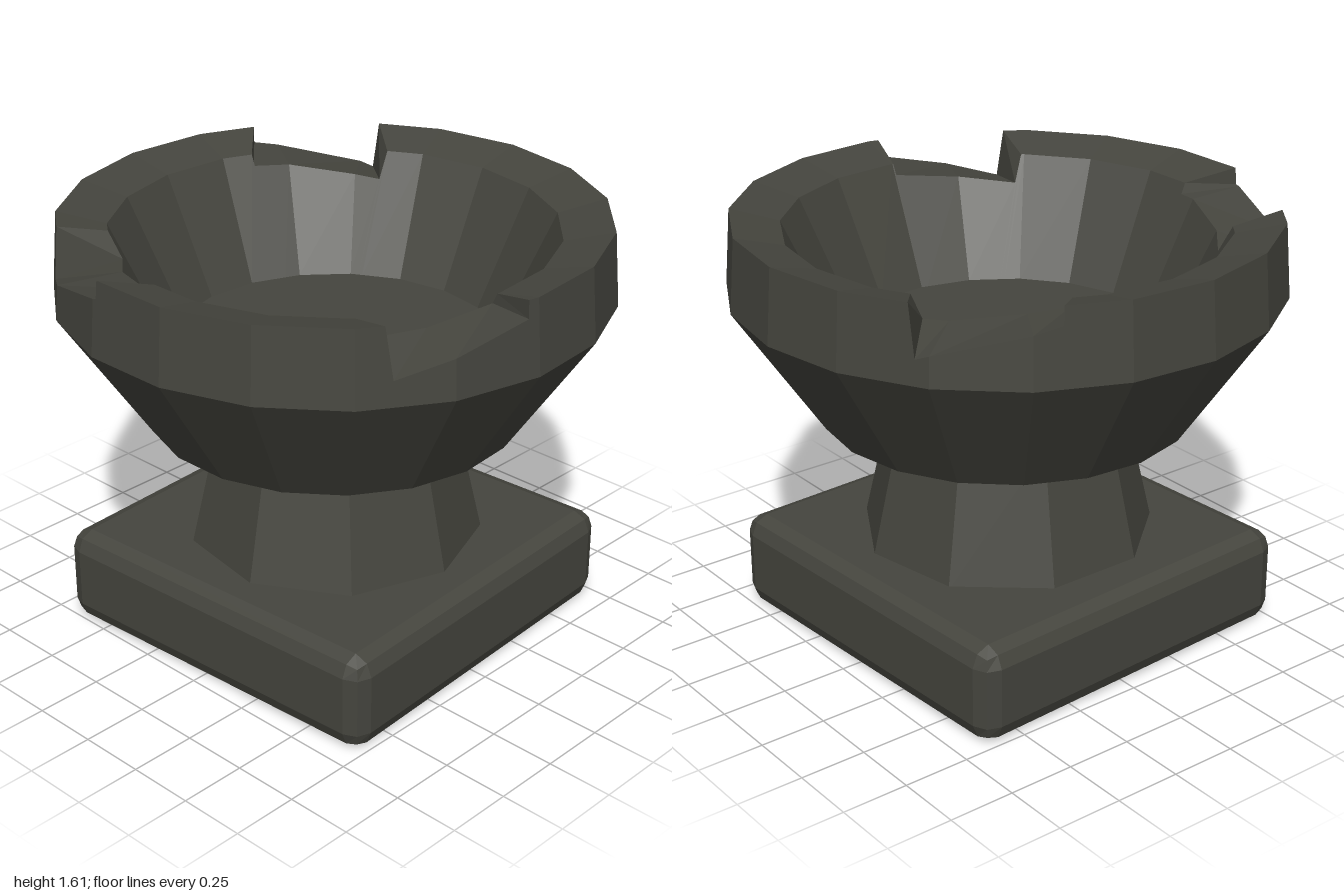
import * as THREE from 'three';
import { RoundedBoxGeometry } from 'three/addons/geometries/RoundedBoxGeometry.js';

const SIDES = 19;
const STEP = 360 / SIDES;
const RIM_OUT = 1.605, RIM_IN = 1.56, BELLY = 1.33, FLOOR = 1.12, BOTTOM = 0.85;

// Chips in the rim, in degrees from +x toward +z: [outer angle, inner angle] of each end
const CHIPS = [
  { shallow: [97, 95], deep: [127, 131.8] },
  { shallow: [188.5, 184.5], deep: [218.7, 222.4] },
  { shallow: [297.3, 292.6], deep: [326.5, 331] },
];

// Point on a regular polygon ring at any angle
function ringPoint(deg, radius, y) {
  const offset = ((deg % STEP) + STEP) % STEP - STEP / 2;
  const r = radius * Math.cos(Math.PI / SIDES) / Math.cos(THREE.MathUtils.degToRad(offset));
  const a = THREE.MathUtils.degToRad(deg);
  return new THREE.Vector3(r * Math.cos(a), y, r * Math.sin(a));
}

// One radial cross-section, from the middle of the floor over the rim to the underside
function column(outer, inner, yOut, yIn) {
  const { mapLinear } = THREE.MathUtils;
  return [
    new THREE.Vector3(0, FLOOR, 0),
    ringPoint(outer, 0.6, FLOOR),
    ringPoint(inner, mapLinear(yIn, FLOOR, RIM_IN, 0.6, 0.805), yIn),
    ringPoint(outer, mapLinear(yOut, BELLY, RIM_OUT, 1.007, 0.985), yOut),
    ringPoint(outer, 1.007, BELLY),
    ringPoint(outer, 0.685, BOTTOM),
    new THREE.Vector3(0, BOTTOM, 0),
  ];
}

function bowlGeometry() {
  const columns = [];
  const add = (outer, inner, yOut = RIM_OUT, yIn = RIM_IN) =>
    columns.push({ outer, points: column(outer, inner, yOut, yIn) });

  // Regular columns, lowered along the ramp where a chip crosses them
  for (let i = 0; i < SIDES; i++) {
    const a = i * STEP;
    const chip = CHIPS.find((c) => a > c.shallow[0] && a < c.deep[0]);
    if (chip) {
      const t = (a - chip.shallow[0]) / (chip.deep[0] - chip.shallow[0]);
      add(a, a, 1.54 - 0.12 * t, 1.52 - 0.06 * t);
    } else add(a, a);
  }
  // Paired columns that form the end walls of every chip
  for (const { shallow, deep } of CHIPS) {
    add(shallow[0], shallow[1]);
    add(shallow[0] + 0.1, shallow[1] + 0.1, 1.54, 1.52);
    add(deep[0] - 1.5, deep[1] - 1.5, 1.42, 1.46);
    add(deep[0], deep[1]);
  }
  columns.sort((p, q) => p.outer - q.outer);

  // Skin neighbouring columns, leaving out empty triangles
  const positions = [];
  const triangle = (a, b, c) => {
    if (new THREE.Triangle(a, b, c).getArea() < 1e-7) return;
    for (const p of [a, b, c]) positions.push(p.x, p.y, p.z);
  };
  columns.forEach(({ points }, i) => {
    const next = columns[(i + 1) % columns.length].points;
    for (let k = 0; k < points.length - 1; k++) {
      triangle(points[k], next[k + 1], points[k + 1]);
      triangle(points[k], next[k], next[k + 1]);
    }
  });
  const geometry = new THREE.BufferGeometry();
  geometry.setAttribute('position', new THREE.Float32BufferAttribute(positions, 3));
  geometry.computeVertexNormals();
  return geometry;
}

function flat(geometry) {
  const g = geometry.index ? geometry.toNonIndexed() : geometry;
  g.computeVertexNormals();
  return g;
}

export function createModel() {
  const model = new THREE.Group();
  model.name = 'stoneBrazier';
  const stone = new THREE.MeshStandardMaterial({ color: 0x45453e });
  stone.name = 'dark stone';

  const add = (name, geometry, y) => {
    const mesh = new THREE.Mesh(geometry, stone);
    mesh.name = name;
    mesh.position.set(-0.007, y, 0);
    model.add(mesh);
    return mesh;
  };

  // Square plinth with softened edges, set slightly askew
  const plinth = add('plinth', flat(new RoundedBoxGeometry(1.434, 0.365, 1.434, 1, 0.07)), 0.1825);
  plinth.rotation.y = 0.055;

  // Tapered nine-sided stem
  add('stem', flat(new THREE.CylinderGeometry(0.435, 0.552, 0.51, 9)), 0.605);

  // Hollow bowl with a chipped rim
  add('bowl', bowlGeometry(), 0);

  return model;
}
